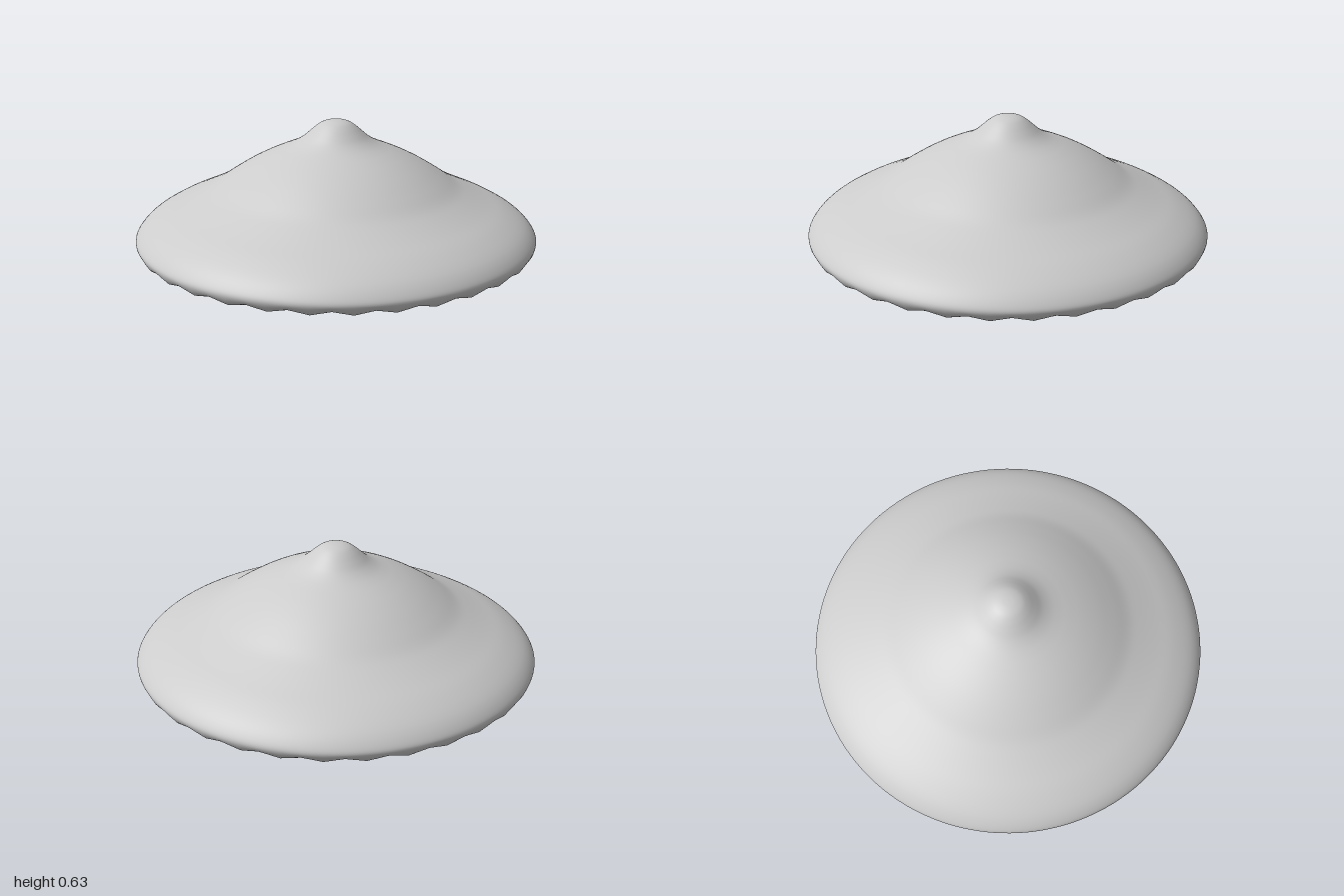
import * as THREE from 'three';
import { mergeVertices } from 'three/addons/utils/BufferGeometryUtils.js';

const GILLS = 32;
const SEGMENTS = GILLS * 4;

// Half section from the middle of the underside, round the rim, up to the tip:
// radius, height, depth of the gill ripple
const SECTION = [
  [0, 0.108, 0], [0.06, 0.126, 0.002], [0.14, 0.148, 0.005], [0.25, 0.16, 0.009],
  [0.4, 0.15, 0.011], [0.55, 0.124, 0.011], [0.7, 0.088, 0.01], [0.82, 0.056, 0.0095],
  [0.9, 0.033, 0.0095], [0.95, 0.014, 0.01], [0.972, 0.0115, 0.0095], [0.99, 0.026, 0.004],
  [1, 0.055, 0], [0.985, 0.085, 0], [0.94, 0.13, 0], [0.85, 0.185, 0], [0.75, 0.231, 0],
  [0.68, 0.264, 0], [0.61, 0.3, 0], [0.53, 0.353, 0], [0.45, 0.403, 0],
  [0.37, 0.446, 0], [0.3, 0.478, 0], [0.25, 0.499, 0], [0.205, 0.52, 0], [0.165, 0.545, 0],
  [0.13, 0.575, 0], [0.1, 0.601, 0], [0.07, 0.621, 0], [0.035, 0.632, 0], [0, 0.635, 0],
];

export function createModel() {
  const curve = new THREE.CatmullRomCurve3(SECTION.map((p) => new THREE.Vector3(...p)), false, 'centripetal');
  const samples = curve.getPoints((SECTION.length - 1) * 4);
  const profile = samples.map((p) => new THREE.Vector2(Math.max(p.x, 0), p.y));

  // Turned cap, with the underside rippled into radiating gills
  const lathe = new THREE.LatheGeometry(profile, SEGMENTS);
  const pos = lathe.attributes.position;
  for (let i = 0; i < pos.count; i++) {
    const ripple = Math.max(samples[i % samples.length].z, 0);
    const angle = Math.floor(i / samples.length) / SEGMENTS * Math.PI * 2;
    pos.setY(i, pos.getY(i) + ripple * Math.cos(GILLS * angle));
  }

  // Weld the seam so the shading runs smoothly all the way round
  lathe.deleteAttribute('uv');
  lathe.deleteAttribute('normal');
  const geometry = mergeVertices(lathe, 1e-5);
  geometry.computeVertexNormals();

  const cap = new THREE.Mesh(geometry, new THREE.MeshStandardMaterial({ color: 0xcccccc }));
  cap.name = 'mushroomCap';
  const group = new THREE.Group();
  group.name = 'mushroomCapModel';
  group.add(cap);
  return group;
}
